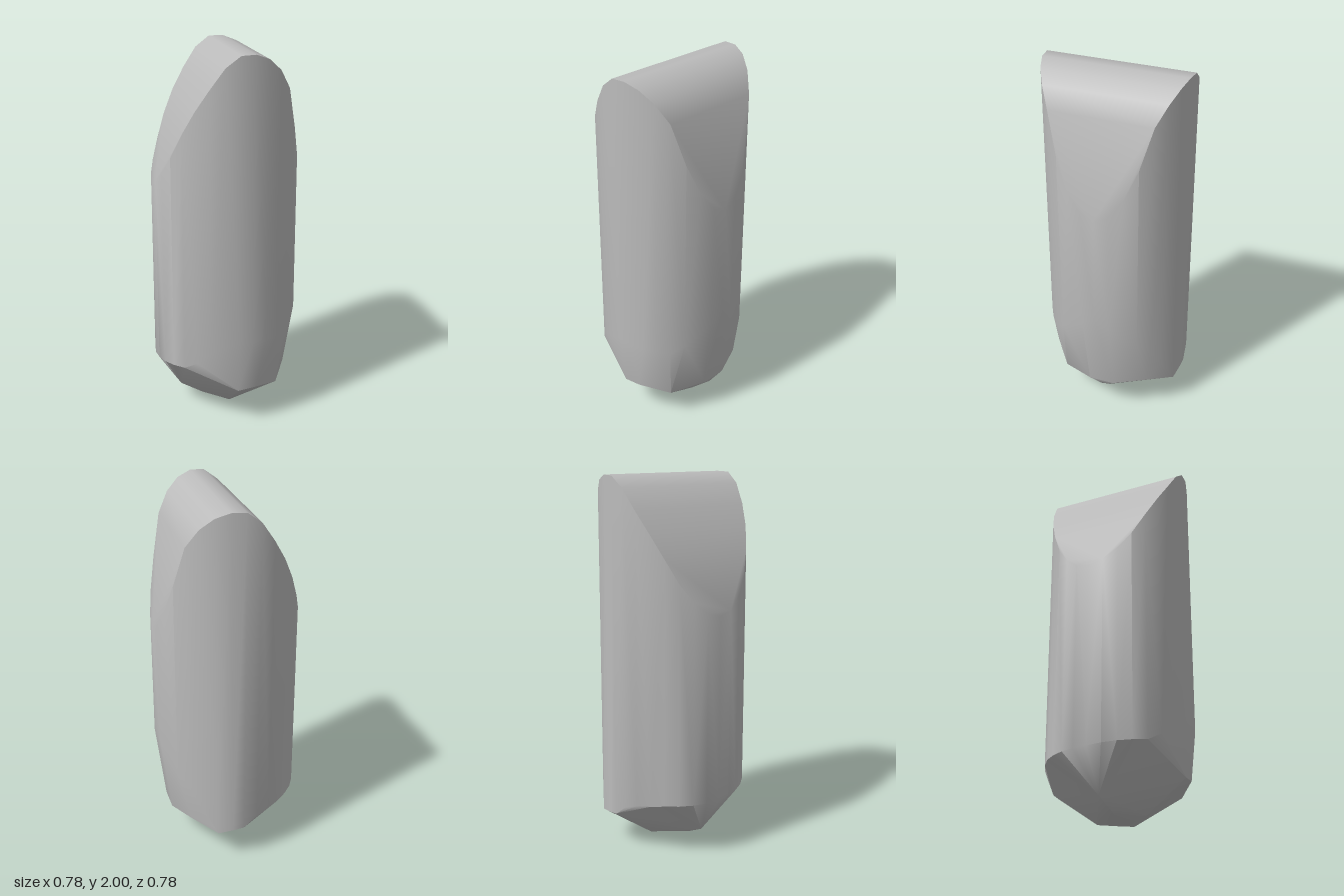
import * as THREE from 'three';
import { toCreasedNormals } from 'three/addons/utils/BufferGeometryUtils.js';
import { ConvexGeometry } from 'three/addons/geometries/ConvexGeometry.js';

const RADIUS = 0.39;
const SIDES = 32;

// Ridge profile: height over x, constant along z
const ridge = [[-0.39, 1.3], [-0.25, 1.67], [-0.11, 1.9], [-0.03, 1.995], [0.03, 2], [0.1, 2], [0.19, 1.95], [0.27, 1.84], [0.39, 1.3]];

// Where the straight wall ends at the bottom: height over angle (from +x towards +z)
const lowerRim = [[0, 0.68], [45, 0.48], [90, 0.5], [112, 0.44], [130, 0.33], [180, 0.3], [225, 0.3], [255, 0.28], [270, 0.2], [290, 0.19], [315, 0.45], [360, 0.68]];

// Rounded, uneven underside
const underside = [
  [0, 0.2, 0.36], [0.1, 0.21, 0.35], [0.33, 0.2, 0.06], [0.33, 0.2, -0.08],
  [0.31, 0.16, 0], [0.24, 0.17, 0.24], [0.26, 0.22, -0.25], [0.06, 0.19, -0.385], [0.14, 0.18, -0.375],
  [-0.25, 0.09, 0], [0.17, 0.03, 0], [-0.13, 0.03, 0.02],
  [0, 0.03, 0.14], [0.02, 0.02, -0.14], [0, 0, 0], [0.04, 0.002, 0],
];

function sample(table, t) {
  for (let i = 1; i < table.length; i++) {
    const [t0, v0] = table[i - 1];
    const [t1, v1] = table[i];
    if (t <= t1) return v0 + ((v1 - v0) * (t - t0)) / (t1 - t0);
  }
  return table[table.length - 1][1];
}

export function createModel() {
  const group = new THREE.Group();
  group.name = 'roundedBlock';

  const grey = new THREE.MeshStandardMaterial({ color: 0xbcbcbc });
  grey.name = 'grey';

  // Round wall, cut by the ridge above and by the rim below
  const points = underside.map((p) => new THREE.Vector3(...p));
  for (let i = 0; i < SIDES; i++) {
    const angle = (i / SIDES) * Math.PI * 2;
    const x = RADIUS * Math.cos(angle);
    const z = RADIUS * Math.sin(angle);
    points.push(new THREE.Vector3(x, sample(ridge, x), z));
    points.push(new THREE.Vector3(x, sample(lowerRim, (i / SIDES) * 360), z));
  }

  const body = new THREE.Mesh(toCreasedNormals(new ConvexGeometry(points), 0.65), grey);
  body.name = 'body';
  group.add(body);
  return group;
}
